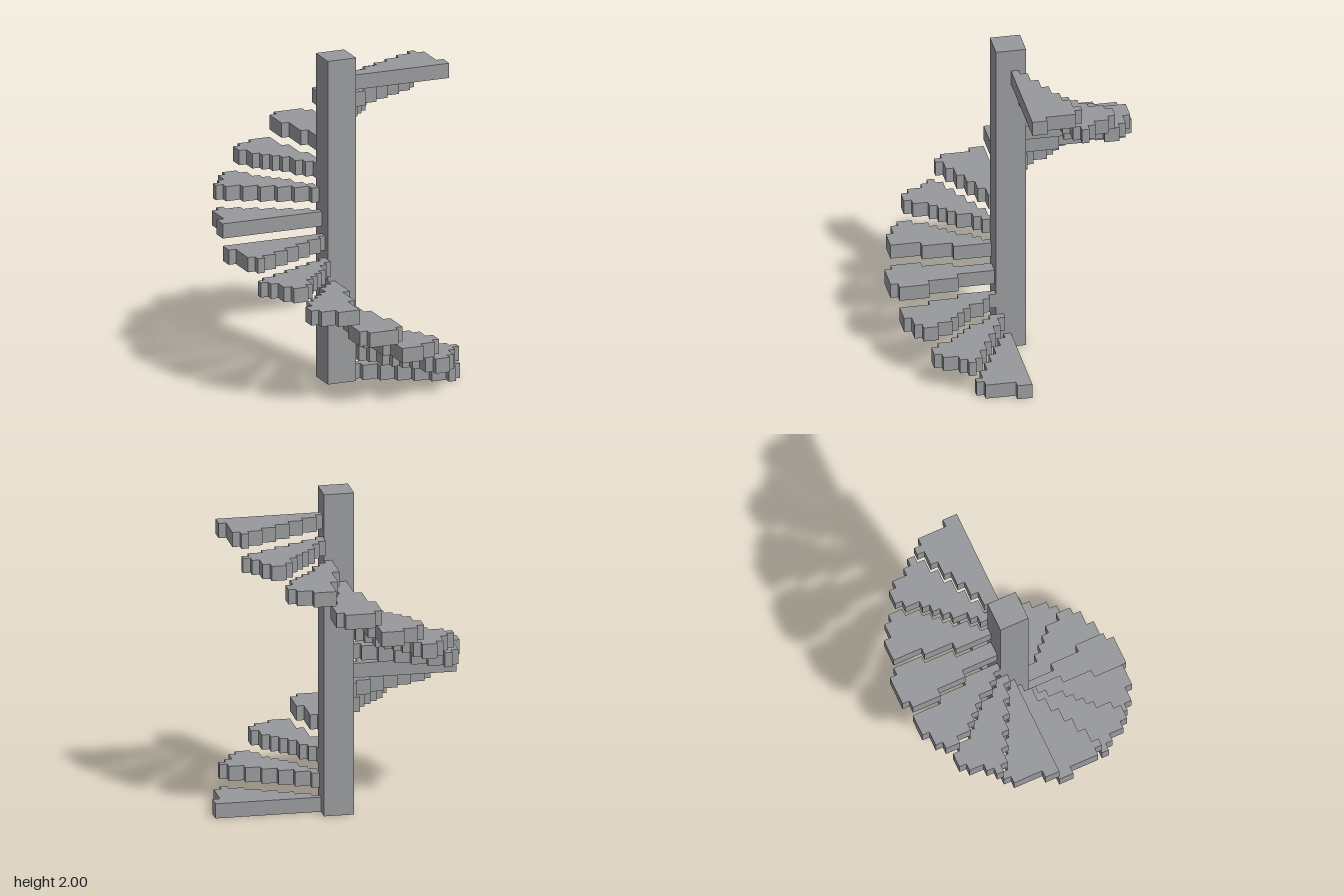
import * as THREE from 'three';

const U = 1 / 22;        // block size
const STEPS = 14;        // steps in one full turn
const RADIUS = 15.6;     // tread radius in blocks
const POST = 2;          // half width of the post in blocks
const RISE = 3, THICK = 2;

// Is the block whose centre is (x, z) part of step k?
function inStep(k, x, z) {
  if (Math.hypot(x, z) > RADIUS) return false;
  if (Math.abs(x) < POST && Math.abs(z) < POST) return false;
  const turn = (Math.atan2(z, x) / (2 * Math.PI) + 1) % 1;
  return Math.floor(turn * STEPS) === k;
}

// Blocky wedge outline: go along the right ends of the rows, back along the left ends
function stepShape(k) {
  const right = [], left = [];
  for (let z = -16; z < 16; z++) {
    let a = null, b = null;
    for (let x = -16; x < 16; x++) {
      if (!inStep(k, x + 0.5, z + 0.5)) continue;
      if (a === null) a = x;
      b = x + 1;
    }
    if (a === null) continue;
    right.push([b, z], [b, z + 1]);
    left.push([a, z], [a, z + 1]);
  }
  const loop = [...right, ...left.reverse()];
  const same = (p, q) => p[0] === q[0] && p[1] === q[1];
  const unique = loop.filter((p, i) => !same(p, loop[(i + 1) % loop.length]));
  // drop points in the middle of straight edges
  const corners = unique.filter((p, i) => {
    const n = unique.length, q = unique[(i + n - 1) % n], r = unique[(i + 1) % n];
    return !((p[0] === q[0] && p[0] === r[0]) || (p[1] === q[1] && p[1] === r[1]));
  });
  return new THREE.Shape(corners.map(([x, z]) => new THREE.Vector2(x * U, -z * U)));
}

export function createModel() {
  const group = new THREE.Group();
  group.name = 'spiralStaircase';
  const stone = new THREE.MeshStandardMaterial({ color: 0x98999c });
  stone.name = 'grey stone';

  // Central square post
  const post = new THREE.Mesh(new THREE.BoxGeometry(2 * POST * U, 2, 2 * POST * U), stone);
  post.name = 'post';
  post.position.y = 1;
  group.add(post);

  // Wedge treads climbing round the post
  for (let k = 0; k < STEPS; k++) {
    const geometry = new THREE.ExtrudeGeometry(stepShape(k), { depth: THICK * U, bevelEnabled: false });
    geometry.rotateX(-Math.PI / 2);
    const step = new THREE.Mesh(geometry, stone);
    step.name = `step${k + 1}`;
    step.position.y = k * RISE * U;
    group.add(step);
  }
  return group;
}
